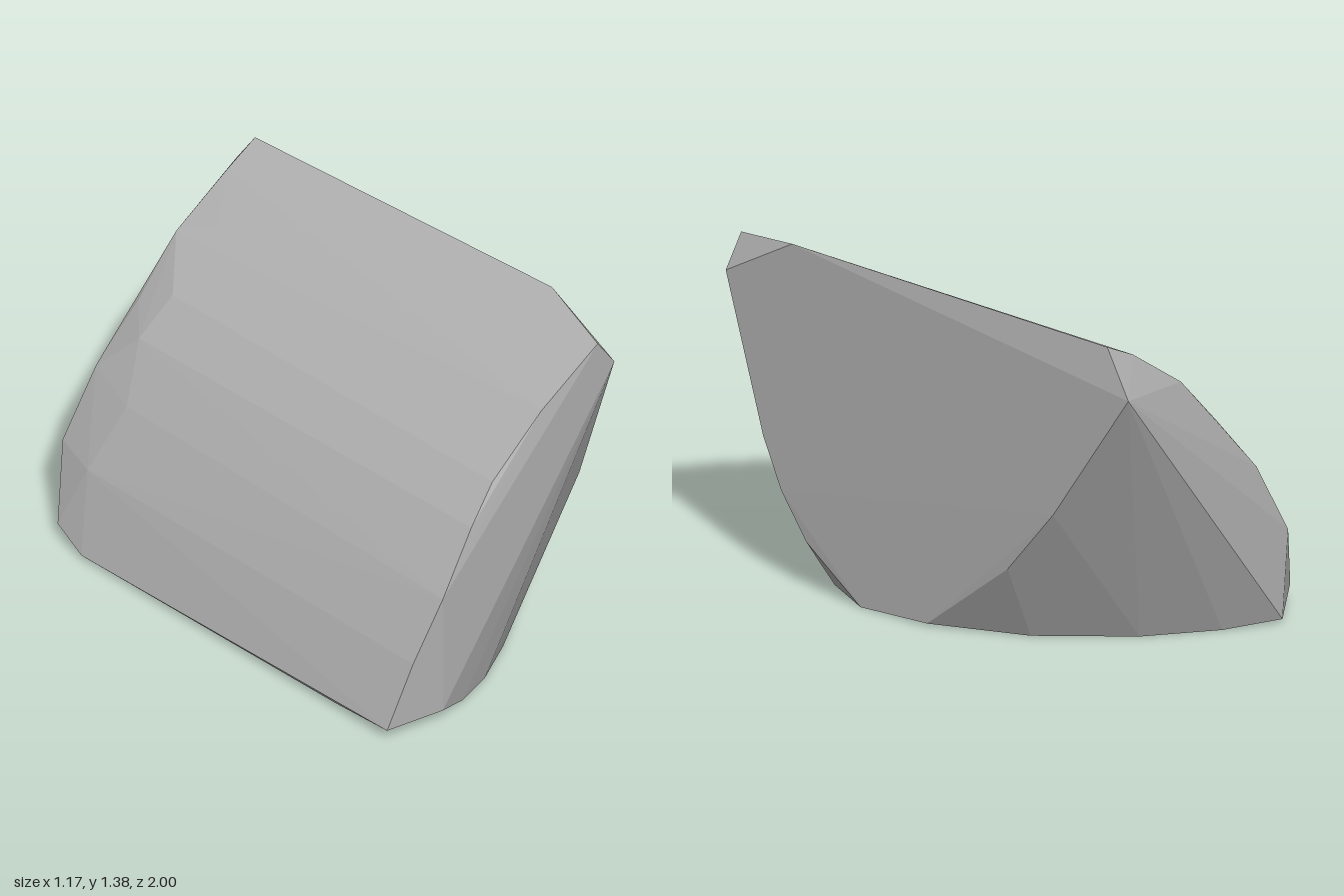
import * as THREE from 'three';
import { ConvexGeometry } from 'three/addons/geometries/ConvexGeometry.js';

// Faceted boulder: a convex shell stretched over a few contour lines.
export function createModel() {
  const group = new THREE.Group();
  group.name = 'boulder';

  const contours = {
    // curved edge where the rounded back meets the front face
    frontRidge: [
      [-0.59, 0.05, 0.94], [-0.48, 0.32, 0.97], [-0.35, 0.57, 1], [-0.18, 0.81, 0.985],
      [-0.05, 0.95, 0.97], [0.2, 1.16, 0.985], [0.49, 1.33, 1],
    ],
    // soft bend shortly before the rear edge
    rearBend: [
      [-0.45, 0.32, -0.78], [-0.31, 0.58, -0.71], [-0.17, 0.79, -0.78],
      [-0.03, 0.94, -0.74], [0.23, 1.13, -0.75],
    ],
    // rear edge of the rounded side
    rearRidge: [
      [-0.53, 0.07, -0.86], [-0.4, 0.345, -0.96], [-0.25, 0.63, -0.93], [-0.06, 0.86, -0.89],
      [0.15, 1.07, -0.895], [0.4, 1.24, -0.87], [0.55, 1.31, -0.87],
    ],
    // outline of the flat cut side
    cutSide: [
      [0.58, 1.38, 0.67], [0.58, 1.2, 1], [0.585, 0.58, 0.81], [0.585, 0.38, 0.72],
      [0.58, 0.2, 0.6], [0.55, 0.07, 0.48], [0.58, 0, 0.33], [0.58, 0.01, 0],
      [0.53, 0.06, -0.17], [0.58, 0.32, -0.4], [0.585, 0.59, -0.63], [0.58, 1.13, -1],
    ],
    // outline of the underside
    base: [
      [-0.35, 0.05, 1], [-0.2, 0, 0.96], [-0.04, 0, 0.92], [0.15, 0, 0.83], [0.34, 0, 0.7],
      [0.45, 0, 0.57], [0.41, 0, -0.37], [0.15, 0, -0.69], [-0.11, 0, -0.88],
      [-0.32, 0.015, -1], [-0.565, 0.02, -0.7], [-0.57, 0.02, 0.65],
    ],
  };

  const points = Object.values(contours).flat().map((p) => new THREE.Vector3(...p));
  const stone = new THREE.MeshStandardMaterial({ color: 0xb0b0b0, flatShading: true });
  stone.name = 'grey stone';

  const rock = new THREE.Mesh(new ConvexGeometry(points), stone);
  rock.name = 'rock';
  group.add(rock);
  return group;
}
